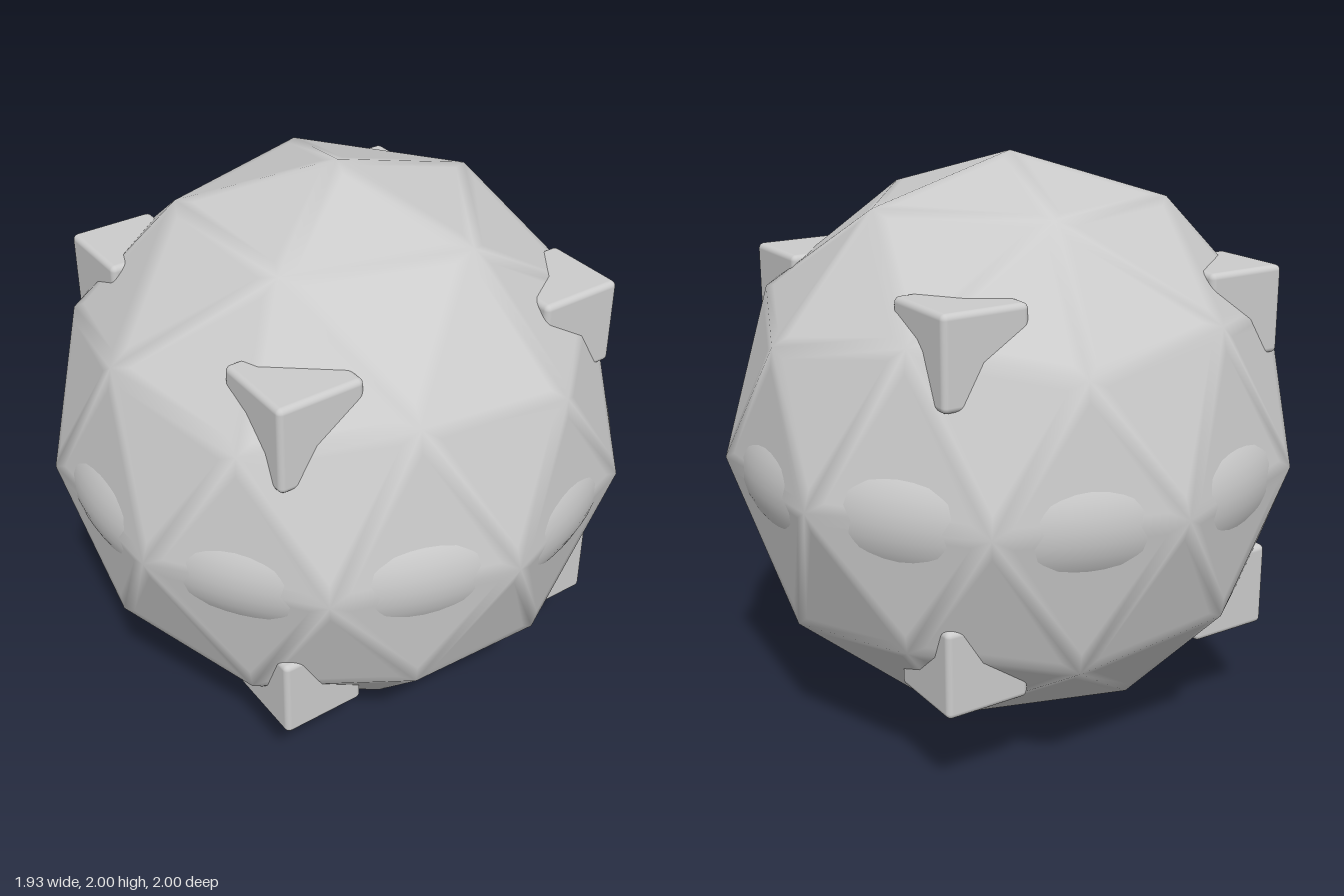
import * as THREE from 'three';
import { RoundedBoxGeometry } from 'three/addons/geometries/RoundedBoxGeometry.js';

const grey = () => new THREE.MeshStandardMaterial({ color: 0xcccccc });

// Icosphere with 80 flat facets; a narrow band along each edge blends the normals like a soft bevel
function facetedBall(bandWidth) {
  const top = new THREE.Vector3(0, 1, 0), bottom = new THREE.Vector3(0, -1, 0);
  const h = 1 / Math.sqrt(5), r = 2 * h;
  const ring = (y, offset) => Array.from({ length: 5 }, (_, i) => {
    const a = (i + offset) * Math.PI * 2 / 5;
    return new THREE.Vector3(r * Math.cos(a), y, r * Math.sin(a));
  });
  const upper = ring(h, 0), lower = ring(-h, 0.5);
  const pos = [], nor = [];
  const tri = (corners) => corners.forEach(([p, n]) => {
    pos.push(p.x, p.y, p.z);
    nor.push(n.x, n.y, n.z);
  });

  const facet = (a, b, c) => {
    const n = b.clone().sub(a).cross(c.clone().sub(a)).normalize();
    if (n.dot(a) < 0) {
      [b, c] = [c, b];
      n.negate();
    }
    const centre = a.clone().add(b).add(c).divideScalar(3);
    const outer = [a, b, c].map((p) => [p, p]);
    const inner = [a, b, c].map((p) => [p.clone().lerp(centre, bandWidth), n]);
    tri(inner);
    for (let i = 0; i < 3; i++) {
      const j = (i + 1) % 3;
      tri([outer[i], outer[j], inner[j]]);
      tri([outer[i], inner[j], inner[i]]);
    }
  };

  const mid = (a, b) => a.clone().add(b).normalize();
  const split = (a, b, c) => {
    const ab = mid(a, b), bc = mid(b, c), ca = mid(c, a);
    facet(a, ab, ca);
    facet(ab, b, bc);
    facet(ca, bc, c);
    facet(ab, bc, ca);
  };

  for (let i = 0; i < 5; i++) {
    const j = (i + 1) % 5;
    split(top, upper[i], upper[j]);
    split(upper[i], upper[j], lower[i]);
    split(lower[i], lower[j], upper[j]);
    split(bottom, lower[i], lower[j]);
  }
  const g = new THREE.BufferGeometry();
  g.setAttribute('position', new THREE.Float32BufferAttribute(pos, 3));
  g.setAttribute('normal', new THREE.Float32BufferAttribute(nor, 3));
  return g;
}

export function createModel() {
  const model = new THREE.Group();
  model.name = 'facetedSphere';
  const material = grey();

  const add = (name, geometry, x, y, z) => {
    const mesh = new THREE.Mesh(geometry, material);
    mesh.name = name;
    mesh.position.set(x, y, z);
    model.add(mesh);
    return mesh;
  };

  // Main body
  add('body', facetedBall(0.22), 0, 1, 0);

  // Ring that swells through the facets along the equator
  add('equatorRing', new THREE.TorusGeometry(0.68, 0.283, 40, 120).rotateX(Math.PI / 2), 0, 1, 0);

  // Eight bevelled cubes sunk into the body, leaving their corners exposed
  const cube = new RoundedBoxGeometry(0.3, 0.3, 0.3, 3, 0.02);
  for (const x of [-0.5, 0.5])
    for (const y of [0.5, 1.5])
      for (const z of [-0.5, 0.5])
        add(`${y > 1 ? 'upper' : 'lower'}${z > 0 ? 'Front' : 'Back'}${x > 0 ? 'Left' : 'Right'}Corner`, cube, x, y, z);

  return model;
}
